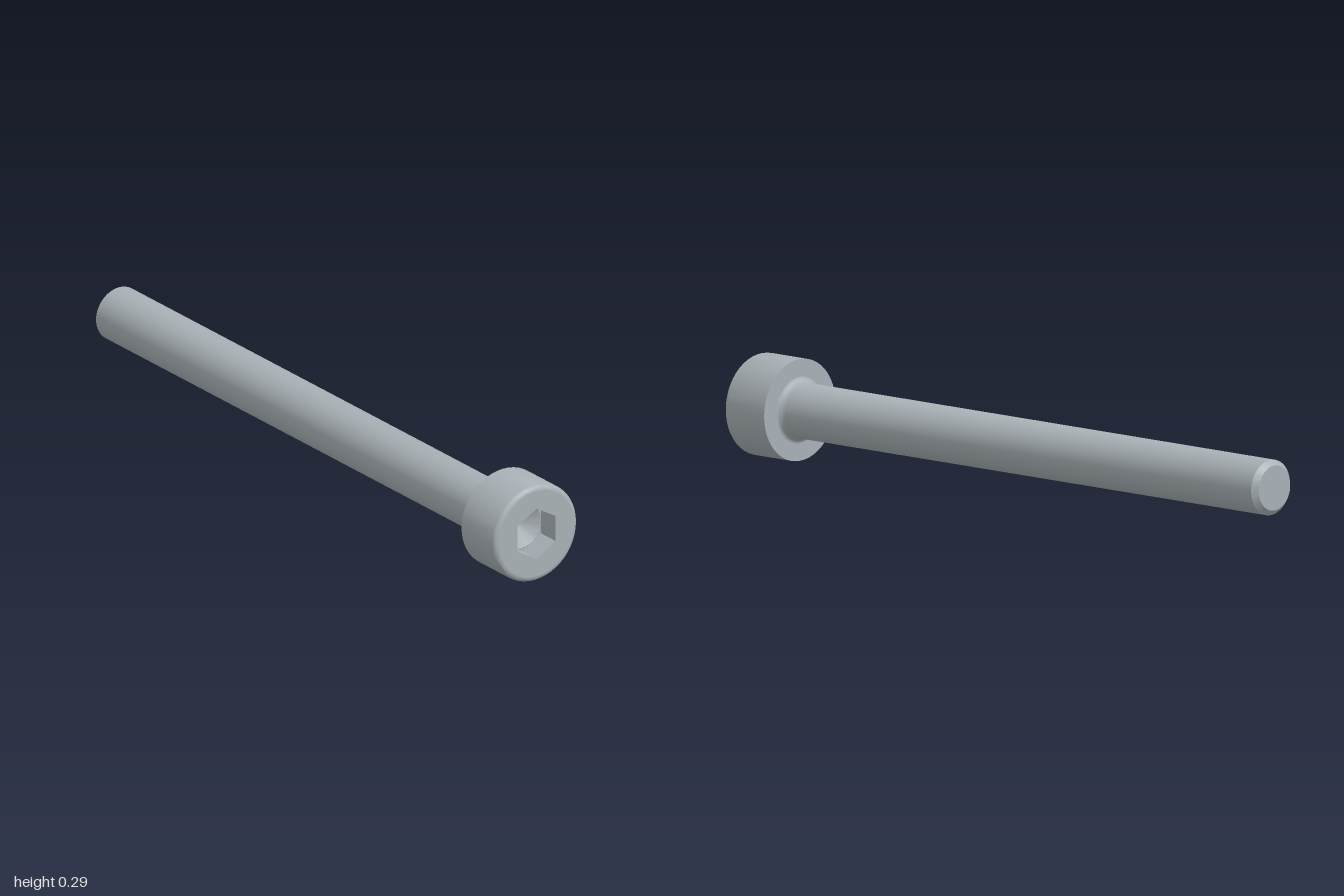
import * as THREE from 'three';
import { toCreasedNormals } from 'three/addons/utils/BufferGeometryUtils.js';

const SEG = 48;
const HEAD_R = 0.145, HEAD_BACK = 0.842, EDGE = 0.0158;
const SHAFT_R = 0.079, NECK_R = 0.0947, CHAMFER = 0.015;
const FLAT_R = 0.066, HEX_R = FLAT_R / Math.cos(Math.PI / 6);
const FLOOR_Z = 0.932, TIP_Z = FLOOR_Z - 0.038;

// Revolve [radius, z] points about the z axis; rising z faces outward
function revolve(points, segments = SEG) {
  const g = new THREE.LatheGeometry(points.map(([r, z]) => new THREE.Vector2(r, z)), segments);
  g.rotateX(Math.PI / 2);
  return toCreasedNormals(g, Math.PI / 6);
}

function hexPoints() {
  return Array.from({ length: 6 }, (_, i) => {
    const a = Math.PI / 2 + i * Math.PI / 3;
    return new THREE.Vector2(HEX_R * Math.cos(a), HEX_R * Math.sin(a));
  });
}

function circle(path, r) {
  path.absarc(0, 0, r, 0, Math.PI * 2);
  return path;
}

// Flat plate facing the front with one hole
function plate(shape, hole, z) {
  shape.holes.push(hole);
  return new THREE.ShapeGeometry(shape, SEG).translate(0, 0, z);
}

export function createModel() {
  const steel = new THREE.MeshStandardMaterial({ color: 0xa9b1b6 });
  steel.name = 'steel';
  const model = new THREE.Group();
  model.name = 'socketHeadScrew';
  const add = (name, geometry) => {
    const mesh = new THREE.Mesh(geometry, steel);
    mesh.name = name;
    mesh.position.y = HEAD_R;
    model.add(mesh);
  };

  // Shaft with chamfered end and a concave flare under the head
  const flare = [];
  for (let i = 0; i <= 6; i++) {
    const a = (i / 6) * Math.PI / 2;
    flare.push([
      NECK_R - (NECK_R - SHAFT_R) * Math.cos(a),
      HEAD_BACK - 0.03 * (1 - Math.sin(a)),
    ]);
  }
  add('shaft', revolve([[0, -1], [SHAFT_R - CHAMFER, -1], [SHAFT_R, -1 + CHAMFER], ...flare]));

  // Head side, back face and rounded front edge
  const edge = [];
  for (let i = 0; i <= 6; i++) {
    const a = (i / 6) * Math.PI / 2;
    edge.push([HEAD_R - EDGE * (1 - Math.cos(a)), 1 - EDGE * (1 - Math.sin(a))]);
  }
  add('head', revolve([[NECK_R, HEAD_BACK], [HEAD_R, HEAD_BACK], ...edge]));
  add('headFace', plate(circle(new THREE.Shape(), HEAD_R - EDGE), new THREE.Path(hexPoints()), 1));

  // Hexagonal socket with a drilled conical bottom
  add('socketWalls', revolve([[HEX_R, 1], [HEX_R, FLOOR_Z]], 6));
  add('socketFloor', plate(new THREE.Shape(hexPoints()), circle(new THREE.Path(), FLAT_R - 0.0005), FLOOR_Z));
  add('socketCone', revolve([[FLAT_R - 0.0005, FLOOR_Z], [0, TIP_Z]]));

  return model;
}
